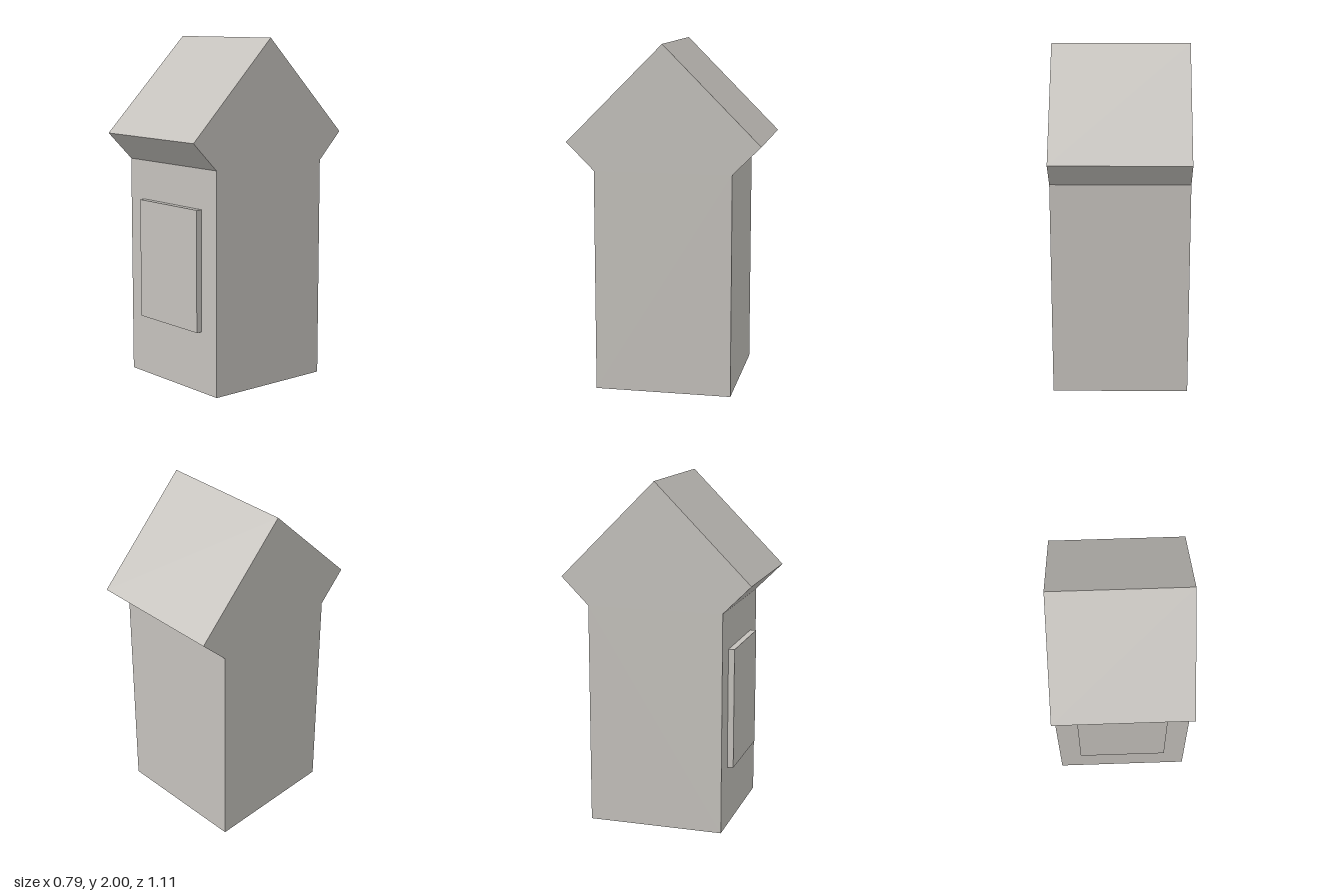
import * as THREE from 'three';

export function createModel() {
  const group = new THREE.Group();
  const stone = new THREE.MeshStandardMaterial({ color: 0xc4c1bc });
  stone.name = 'pale stone grey';

  const halfWidth = 0.395, eaveZ = 0.555, eaveY = 1.445, neckY = 1.285, ridgeY = 2;

  // Tower body with gabled, overhanging roof: one side profile extruded across x
  const half = [[halfWidth, 0], [halfWidth, neckY], [eaveZ, eaveY]];
  const profile = [
    ...half,
    [0, ridgeY],
    ...half.map(([z, y]) => [-z, y]).reverse(),
  ].map(([z, y]) => new THREE.Vector2(z, y));
  const towerGeometry = new THREE.ExtrudeGeometry(new THREE.Shape(profile), {
    depth: halfWidth * 2,
    bevelEnabled: false,
  });
  towerGeometry.translate(0, 0, -halfWidth).rotateY(-Math.PI / 2);
  const tower = new THREE.Mesh(towerGeometry, stone);
  tower.name = 'towerWithGableRoof';
  group.add(tower);

  // Raised panel on the front wall
  const panel = new THREE.Mesh(new THREE.BoxGeometry(0.525, 0.70, 0.035), stone);
  panel.name = 'frontPanel';
  panel.position.set(0, 0.705, halfWidth + 0.0175);
  group.add(panel);

  return group;
}
